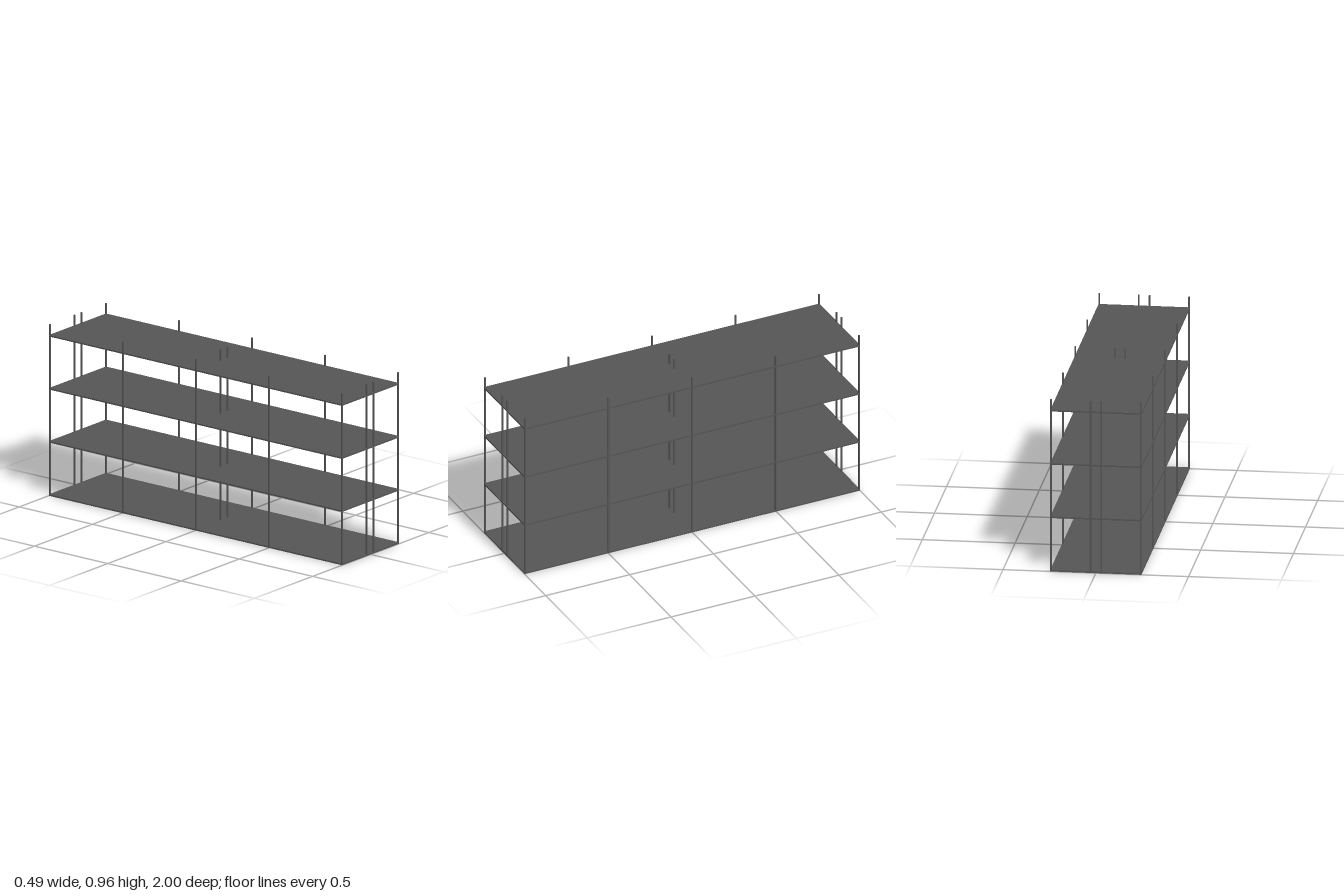
import * as THREE from 'three';

export function createModel() {
  const model = new THREE.Group();
  const material = new THREE.MeshStandardMaterial({ color: 0x555555 });
  const halfWidth = 0.246, halfLength = 1, height = 0.96;
  const post = 0.008, shelf = 0.008;

  const addBox = (name, w, h, d, x, y, z) => {
    const mesh = new THREE.Mesh(new THREE.BoxGeometry(w, h, d), material);
    mesh.name = name;
    mesh.position.set(x, y, z);
    model.add(mesh);
  };

  // four evenly spaced shelf boards
  for (let i = 0; i < 4; i++) {
    addBox('shelf', halfWidth * 2, shelf, halfLength * 2, 0, shelf / 2 + 0.001 * (i > 0) + i * 0.297, 0);
  }

  // posts: five along each long side, plus inner pairs at the ends and middle
  const edgeX = halfWidth - post / 2, endZ = halfLength - post / 2;
  for (const side of [-1, 1]) {
    for (let i = -2; i <= 2; i++) {
      const z = (i / 2) * endZ;
      addBox('sidePost', post, height, post, side * edgeX, height / 2, z);
      if (i % 2 === 0) addBox('innerPost', post, height, post, side * 0.029, height / 2, z);
    }
  }
  return model;
}
